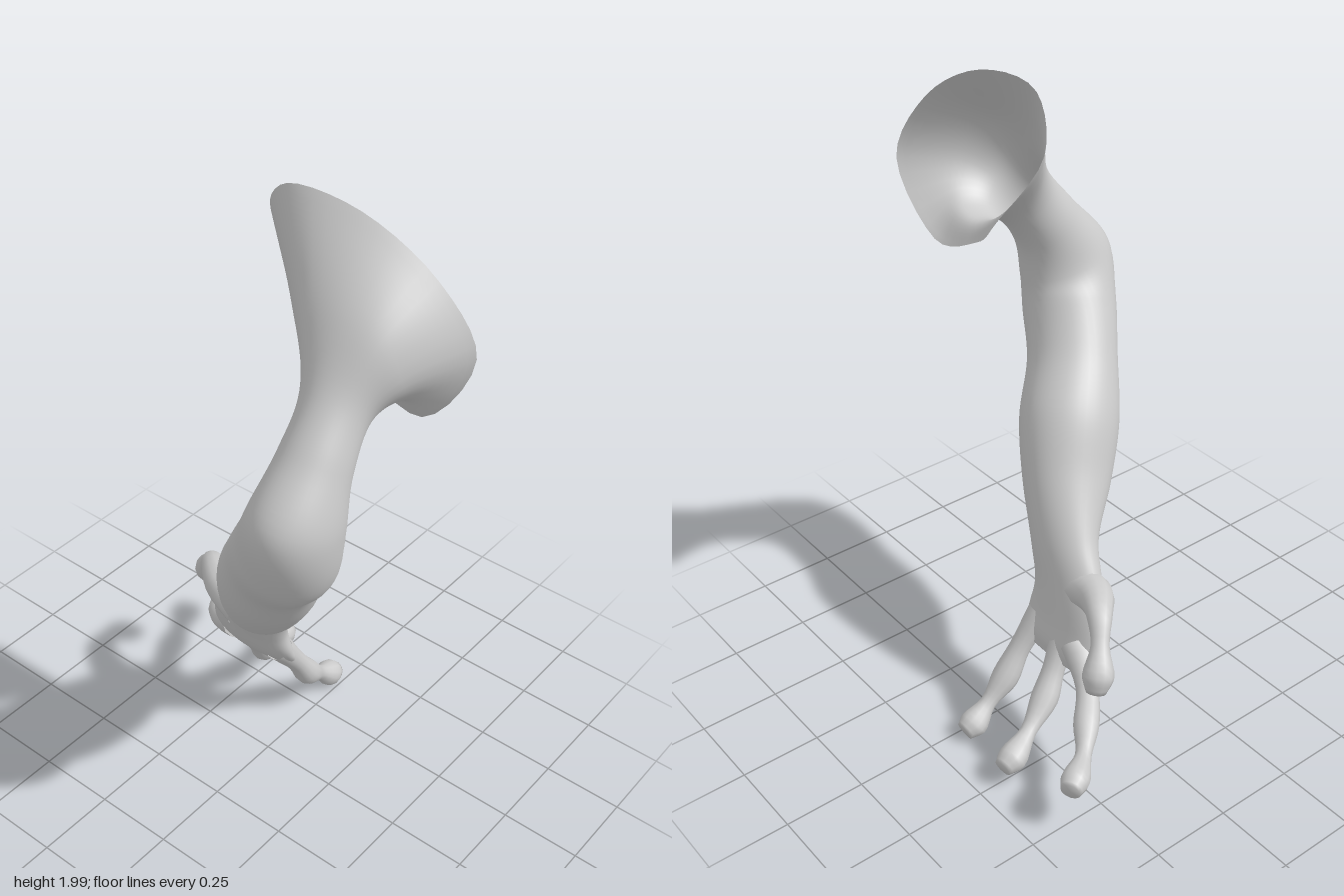
import * as THREE from 'three';

const V = (p) => new THREE.Vector3(p[0], p[1], p[2]);

// Elliptical rings along a path; sections are [x, y, z, side radius, front radius]
function ringsAlong(sections, sides, ref) {
  return sections.map((s, i) => {
    const before = V(sections[Math.max(i - 1, 0)]);
    const after = V(sections[Math.min(i + 1, sections.length - 1)]);
    const tangent = after.sub(before).normalize();
    const side = ref.clone().addScaledVector(tangent, -ref.dot(tangent)).normalize();
    const front = tangent.clone().cross(side);
    return Array.from({ length: sides }, (_, j) => {
      const a = (j / sides) * Math.PI * 2;
      return V(s)
        .addScaledVector(side, Math.cos(a) * s[3])
        .addScaledVector(front, Math.sin(a) * (s[4] ?? s[3]));
    });
  });
}

// Ring from a smooth closed curve through a few points
function freeRing(points, sides) {
  const curve = new THREE.CatmullRomCurve3(points.map(V), true);
  return Array.from({ length: sides }, (_, j) => curve.getPoint(j / sides));
}

// Smooth skin through the rings, closed at the far end
function skin(name, rings, stepsPerRing) {
  const sides = rings[0].length;
  const rows = (rings.length - 1) * stepsPerRing;
  const lines = rings[0].map((_, j) => new THREE.CatmullRomCurve3(rings.map((r) => r[j])));
  const pos = [], index = [];
  for (let i = 0; i <= rows; i++) {
    for (const line of lines) pos.push(...line.getPoint(i / rows).toArray());
  }
  for (let i = 0; i < rows; i++) {
    for (let j = 0; j < sides; j++) {
      const a = i * sides + j, b = i * sides + ((j + 1) % sides);
      index.push(a, b, a + sides, b, b + sides, a + sides);
    }
  }
  // end cap
  const tip = new THREE.Vector3();
  rings[rings.length - 1].forEach((p) => tip.addScaledVector(p, 1 / sides));
  pos.push(...tip.toArray());
  for (let j = 0; j < sides; j++) {
    index.push(rows * sides + j, rows * sides + ((j + 1) % sides), (rows + 1) * sides);
  }
  const geo = new THREE.BufferGeometry();
  geo.setAttribute('position', new THREE.Float32BufferAttribute(pos, 3));
  geo.setIndex(index);
  geo.computeVertexNormals();
  const mesh = new THREE.Mesh(
    geo,
    new THREE.MeshStandardMaterial({ color: 0xcccccc, side: THREE.DoubleSide })
  );
  mesh.name = name;
  return mesh;
}

export function createModel() {
  const model = new THREE.Group();
  model.name = 'arm';

  // Flared open shoulder: rim, then a narrower ring
  const rim = [
    [0.55, 1.65, -0.15], [0.45, 1.85, -0.11], [0.23, 1.98, -0.08], [0.0, 1.985, -0.075],
    [-0.1, 1.86, -0.13], [-0.02, 1.68, -0.22], [0.2, 1.51, -0.135], [0.42, 1.435, -0.12],
  ];
  const funnel = [
    [0.46, 1.62, 0.03], [0.41, 1.75, 0.06], [0.28, 1.8, 0.07], [0.15, 1.78, 0.06],
    [0.1, 1.7, 0.02], [0.17, 1.59, -0.04], [0.3, 1.515, -0.05], [0.41, 1.525, -0.04],
  ];

  // Upper arm, elbow, forearm, wrist and palm
  const limb = [
    [0.315, 1.55, 0.11, 0.1, 0.1],
    [0.325, 1.43, 0.205, 0.1, 0.105],
    [0.325, 1.29, 0.28, 0.125, 0.147],
    [0.285, 1.16, 0.265, 0.147, 0.138],
    [0.195, 1.03, 0.205, 0.142, 0.13],
    [0.11, 0.885, 0.125, 0.15, 0.15],
    [0.03, 0.735, 0.05, 0.132, 0.132],
    [-0.06, 0.6, -0.03, 0.115, 0.082],
    [-0.115, 0.49, -0.06, 0.132, 0.065],
    [-0.135, 0.38, -0.092, 0.15, 0.052],
    [-0.13, 0.31, -0.125, 0.138, 0.035],
    [-0.13, 0.275, -0.14, 0.11, 0.015],
  ];
  const sides = 40;
  model.add(skin('shoulderArmAndPalm', [
    freeRing(rim, sides), freeRing(funnel, sides),
    ...ringsAlong(limb, sides, new THREE.Vector3(1, 0, 0)),
  ], 8));

  // Knobbly fingers with bulbous tips: [x, y, z, radius]
  const digits = {
    innerFinger: [
      [-0.04, 0.36, -0.1, 0.045], [-0.025, 0.25, -0.175, 0.033], [-0.025, 0.16, -0.235, 0.042],
      [-0.03, 0.1, -0.305, 0.025], [-0.035, 0.053, -0.365, 0.044], [-0.035, 0.04, -0.4, 0.03],
    ],
    middleFinger: [
      [-0.15, 0.36, -0.1, 0.045], [-0.17, 0.255, -0.16, 0.034], [-0.193, 0.18, -0.215, 0.042],
      [-0.228, 0.125, -0.305, 0.025], [-0.255, 0.088, -0.385, 0.044], [-0.26, 0.075, -0.425, 0.028],
    ],
    outerFinger: [
      [-0.22, 0.35, -0.11, 0.05], [-0.32, 0.275, -0.155, 0.034], [-0.4, 0.228, -0.225, 0.038],
      [-0.46, 0.195, -0.285, 0.024], [-0.51, 0.18, -0.355, 0.042], [-0.53, 0.172, -0.39, 0.03],
    ],
    thumb: [
      [-0.14, 0.5, -0.05, 0.065], [-0.25, 0.53, -0.07, 0.055], [-0.335, 0.535, -0.125, 0.037],
      [-0.385, 0.485, -0.165, 0.027], [-0.42, 0.415, -0.2, 0.046], [-0.428, 0.37, -0.215, 0.03],
    ],
  };
  for (const [name, path] of Object.entries(digits)) {
    model.add(skin(name, ringsAlong(path, 12, new THREE.Vector3(1, 0, -1)), 4));
  }
  return model;
}
